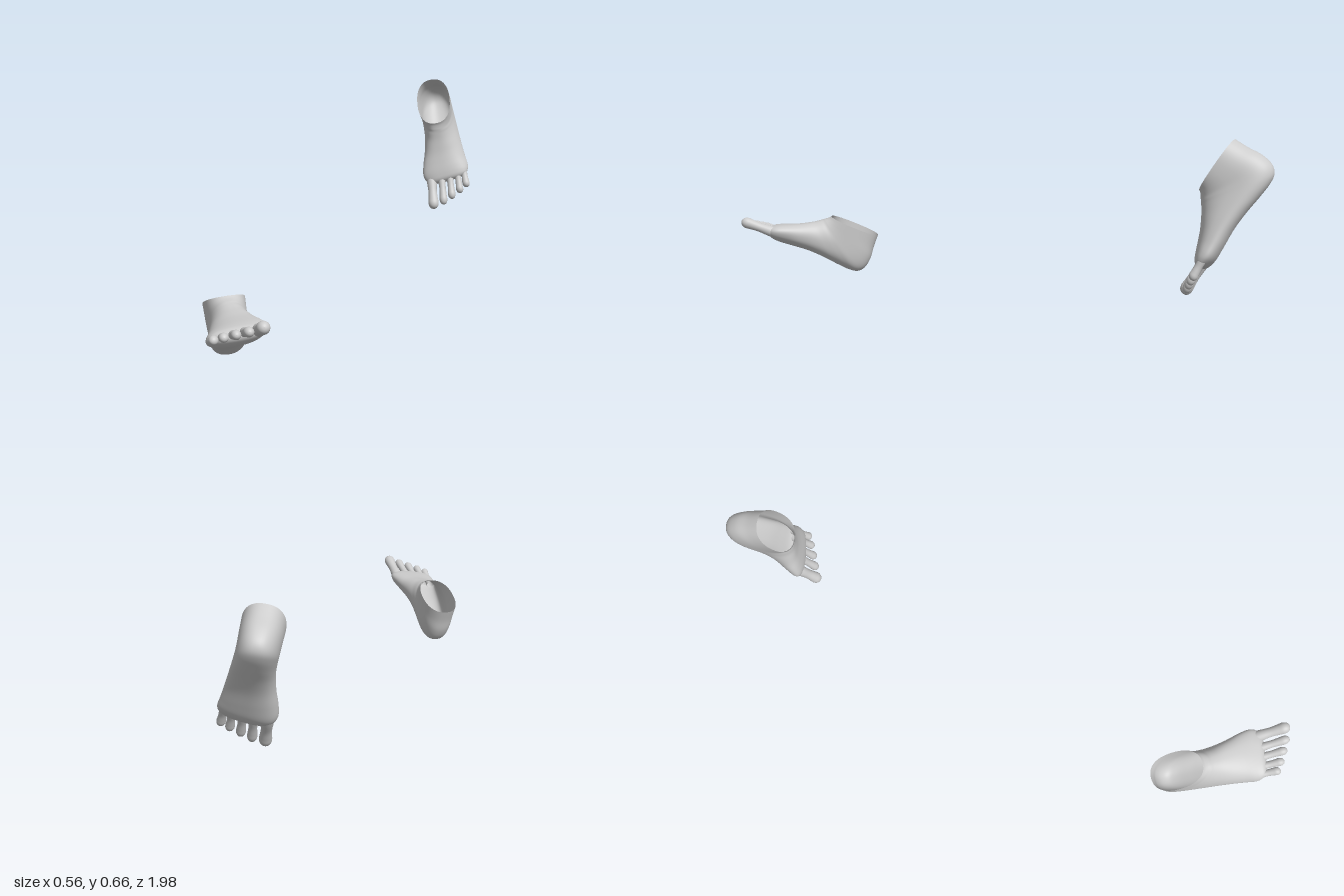
import * as THREE from 'three';

const material = new THREE.MeshStandardMaterial({ color: 0xcccccc, side: THREE.DoubleSide });

// Skin a smooth surface over closed rings; side = -1 mirrors it in x.
function loft(rings, side) {
  const n = rings[0].length, position = [], index = [];
  for (const ring of rings) for (const p of ring) position.push(p.x * side, p.y, p.z);
  for (let i = 0; i < rings.length - 1; i++) {
    for (let j = 0; j < n; j++) {
      const k = (j + 1) % n;
      const a = i * n + j, b = i * n + k, c = a + n, d = b + n;
      if (side > 0) index.push(a, c, b, b, c, d);
      else index.push(a, b, c, b, d, c);
    }
  }
  const geometry = new THREE.BufferGeometry();
  geometry.setAttribute('position', new THREE.Float32BufferAttribute(position, 3));
  geometry.setIndex(index);
  geometry.computeVertexNormals();
  return geometry;
}

// Sections fan from the level ankle opening round the heel to the toe web:
// [instep z, y,  heel/sole z, y,  inner width, outer width, ridge shift]
const sections = [
  [0.185, 0.160, 0.000, 0.160, 0.063, 0.063, 0],
  [0.190, 0.153, -0.002, 0.115, 0.062, 0.062, 0],
  [0.197, 0.147, -0.007, 0.070, 0.061, 0.061, 0],
  [0.204, 0.142, -0.001, 0.030, 0.060, 0.060, 0],
  [0.210, 0.137, 0.018, 0.007, 0.059, 0.061, 0],
  [0.218, 0.131, 0.050, 0.000, 0.057, 0.063, 0.003],
  [0.235, 0.119, 0.100, 0.002, 0.055, 0.067, 0.007],
  [0.255, 0.107, 0.160, 0.007, 0.056, 0.072, 0.012],
  [0.282, 0.092, 0.220, 0.008, 0.061, 0.078, 0.016],
  [0.310, 0.079, 0.280, 0.003, 0.071, 0.085, 0.018],
  [0.337, 0.067, 0.325, 0.000, 0.077, 0.092, 0.016],
  [0.355, 0.058, 0.350, 0.003, 0.073, 0.091, 0.010],
  [0.368, 0.050, 0.366, 0.009, 0.060, 0.082, 0.005],
  [0.375, 0.041, 0.375, 0.018, 0.040, 0.055, 0],
  [0.378, 0.030, 0.378, 0.030, 0.000, 0.000, 0],
];

function footBody(side) {
  const curve = (f) => new THREE.CatmullRomCurve3(sections.map(f), false, 'catmullrom');
  const top = curve((s) => new THREE.Vector3(0, s[1], s[0]));
  const bottom = curve((s) => new THREE.Vector3(0, s[3], s[2]));
  const width = curve((s) => new THREE.Vector3(s[4], s[5], s[6]));
  const rings = [], steps = 84, around = 56;
  const blunt = (v) => Math.sign(v) * Math.abs(v) ** 0.85;
  for (let i = 0; i <= steps; i++) {
    const u = i / steps;
    const T = top.getPoint(u), B = bottom.getPoint(u), W = width.getPoint(u);
    const ring = [];
    for (let j = 0; j < around; j++) {
      const angle = (j / around) * Math.PI * 2;
      const h = blunt(Math.sin(angle)), v = blunt(Math.cos(angle));
      const p = B.clone().lerp(T, (v + 1) / 2);
      p.x = h * (h > 0 ? W.x : W.y) + W.z * v;
      // The toe line slants back towards the little toe
      p.z += 0.15 * p.x * THREE.MathUtils.smoothstep(p.z, 0.22, 0.36);
      ring.push(p);
    }
    rings.push(ring);
  }
  return loft(rings, side);
}

// Toes: root x, z, y and tip x, z, y, radius
const toes = [
  ['bigToe', 0.050, 0.325, 0.034, 0.052, 0.482, 0.028, 0.0195],
  ['secondToe', 0.010, 0.325, 0.037, 0.013, 0.468, 0.022, 0.0150],
  ['thirdToe', -0.021, 0.320, 0.035, -0.021, 0.449, 0.021, 0.0145],
  ['fourthToe', -0.050, 0.315, 0.033, -0.054, 0.429, 0.020, 0.0140],
  ['littleToe', -0.073, 0.305, 0.030, -0.081, 0.408, 0.019, 0.0140],
];

// Fraction of length and of radius: slim neck, round pad
const toeProfile = new THREE.SplineCurve([
  [0, 1], [0.3, 0.98], [0.55, 0.84], [0.74, 0.93], [0.86, 1], [0.94, 0.82], [0.985, 0.45], [1, 0],
].map(([t, r]) => new THREE.Vector2(t, r)));

function toe([, x0, z0, y0, x1, z1, y1, radius], side) {
  const rings = [], steps = 36, around = 24;
  for (let i = 0; i <= steps; i++) {
    const p = toeProfile.getPoint(i / steps), r = Math.max(p.y, 0) * radius;
    const x = THREE.MathUtils.lerp(x0, x1, p.x), z = THREE.MathUtils.lerp(z0, z1, p.x);
    const y = THREE.MathUtils.lerp(y0, y1, p.x);
    rings.push(Array.from({ length: around }, (_, j) => {
      const a = (j / around) * Math.PI * 2;
      return new THREE.Vector3(x + r * Math.sin(a), y + r * Math.cos(a), z);
    }));
  }
  return loft(rings, side);
}

// ankle: back of the ankle opening; forward and inner: foot axes
function makeFoot(name, side, ankle, forward, inner) {
  const foot = new THREE.Group();
  foot.name = name;
  const add = (part, geometry) => {
    const mesh = new THREE.Mesh(geometry, material);
    mesh.name = part;
    foot.add(mesh);
  };
  add('footBody', footBody(side));
  for (const t of toes) add(t[0], toe(t, side));

  const z = new THREE.Vector3(...forward).normalize();
  const y = z.clone().cross(new THREE.Vector3(...inner).multiplyScalar(side)).normalize();
  const x = y.clone().cross(z);
  foot.quaternion.setFromRotationMatrix(new THREE.Matrix4().makeBasis(x, y, z));
  foot.position.set(...ankle).addScaledVector(y, -0.16);
  return foot;
}

export function createModel() {
  const model = new THREE.Group();
  model.name = 'walkingFeet';
  model.add(
    makeFoot('rightFoot', 1, [-0.25, 0.145, 0.562], [0.412, 0.392, 0.825], [0.876, 0.079, -0.476]),
    makeFoot('leftFoot', -1, [0.11, 0.67, -0.868], [0.195, -0.844, 0.498], [-0.977, -0.17, 0.1]),
  );
  return model;
}
